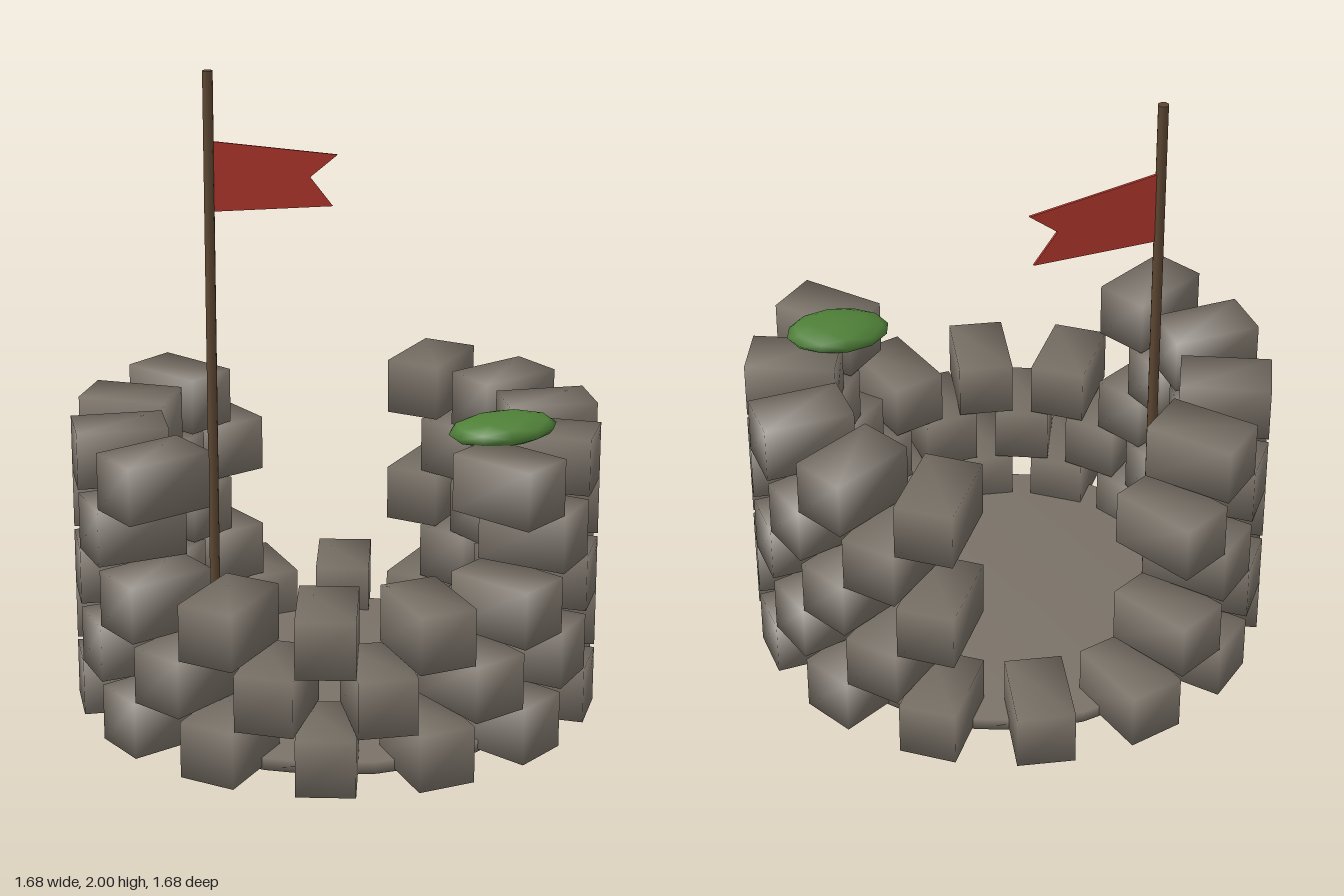
import * as THREE from 'three';
import { mergeVertices } from 'three/addons/utils/BufferGeometryUtils.js';

const paint = (name, color) => {
  const m = new THREE.MeshStandardMaterial({ color });
  m.name = name;
  return m;
};

// Weld corners so the normals are shared and the shading is soft
function soften(geometry) {
  geometry.deleteAttribute('uv');
  geometry.deleteAttribute('normal');
  const welded = mergeVertices(geometry, 1e-4);
  welded.computeVertexNormals();
  return welded;
}

export function createModel() {
  const stone = paint('stone', 0x7a7268);
  const wood = paint('wood', 0x5c4632);
  const red = paint('red cloth', 0xb5382e);
  const green = paint('moss green', 0x4f8038);
  const model = new THREE.Group();
  model.name = 'ruinedTower';

  const add = (parent, name, geometry, material, x, y, z) => {
    const mesh = new THREE.Mesh(geometry, material);
    mesh.name = name;
    mesh.position.set(x, y, z);
    parent.add(mesh);
    return mesh;
  };

  // Round floor slab
  add(model, 'floor', soften(new THREE.CylinderGeometry(0.67, 0.67, 0.04, 24)), stone, 0, 0.021, 0);

  // Five courses of blocks, every other one shifted by half a block;
  // each list holds the blocks that have fallen out of that course
  const perCourse = 14;
  const fallen = [[], [10, 11], [10, 11], [2, 3, 4, 5, 10, 11], [3, 4, 5, 10, 11]];
  const block = soften(new THREE.BoxGeometry(0.29, 0.184, 0.184));
  fallen.forEach((gaps, row) => {
    const course = new THREE.Group();
    course.name = `wallCourse${row + 1}`;
    for (let k = 0; k < perCourse; k++) {
      if (gaps.includes(k)) continue;
      const a = ((k + (row % 2) / 2) / perCourse) * Math.PI * 2;
      const mesh = add(course, 'wallBlock', block, stone,
        Math.cos(a) * 0.694, 0.101 + row * 0.192, Math.sin(a) * 0.694);
      mesh.rotation.y = -a;
    }
    model.add(course);
  });

  // Flagpole
  add(model, 'flagpole', new THREE.CylinderGeometry(0.017, 0.017, 1.96, 8), wood, -0.35, 1.02, -0.35);

  // Swallow-tailed flag
  const outline = [[-0.335, 1.77], [0.07, 1.71], [-0.02, 1.64], [0.055, 1.54], [-0.335, 1.54]];
  const cloth = new THREE.Shape(outline.map(([x, y]) => new THREE.Vector2(x, y)));
  add(model, 'flag', new THREE.ExtrudeGeometry(cloth, { depth: 0.008, bevelEnabled: false }),
    red, 0, 0, -0.354);

  // Flat tuft of moss on top of the wall
  const moss = soften(new THREE.IcosahedronGeometry(1, 1));
  moss.scale(0.172, 0.046, 0.117);
  moss.computeVertexNormals();
  const tuft = add(model, 'mossTuft', moss, green, 0.46, 0.983, 0.345);
  tuft.rotation.z = 0.06;

  return model;
}
